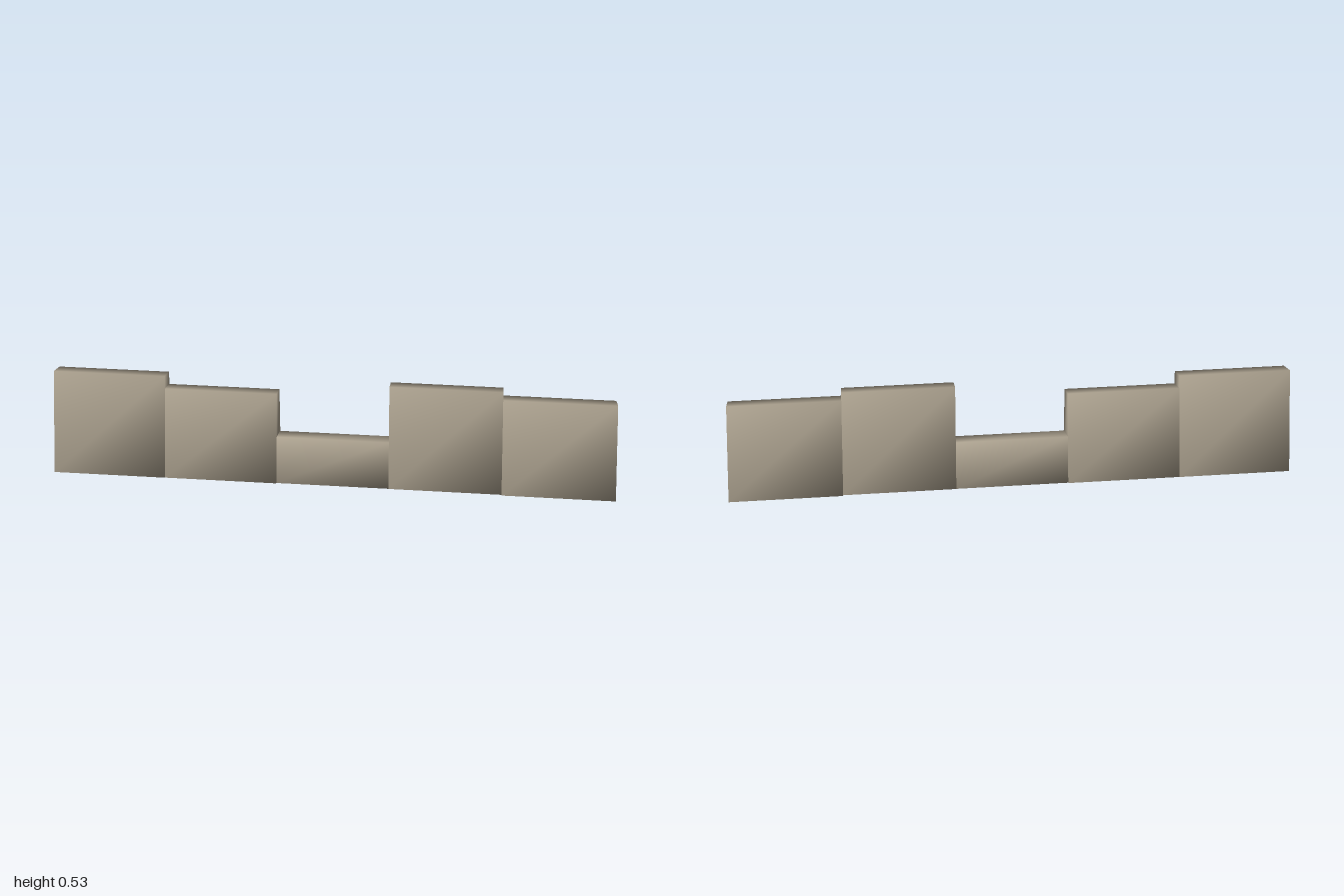
import * as THREE from 'three';
import { mergeVertices } from 'three/addons/utils/BufferGeometryUtils.js';

const LENGTH = 0.492; // length of one wall block
const SLOPE = -0.0326; // gentle fall of the ground along the wall

// Tapered block with soft shared normals, sheared to follow the slope
function blockGeometry(height, bottomWidth, topWidth) {
  let geo = new THREE.BoxGeometry(LENGTH, height, 1);
  geo.deleteAttribute('normal');
  geo.deleteAttribute('uv');
  geo = mergeVertices(geo);
  const p = geo.attributes.position;
  for (let i = 0; i < p.count; i++) {
    const width = p.getY(i) > 0 ? topWidth : bottomWidth;
    p.setZ(i, p.getZ(i) * width);
    p.setY(i, p.getY(i) + height / 2 + p.getX(i) * SLOPE);
  }
  geo.computeVertexNormals();
  return geo;
}

export function createModel() {
  const model = new THREE.Group();
  model.name = 'ruinedWall';
  const stone = new THREE.MeshStandardMaterial({ color: 0xa89e8c });
  stone.name = 'weathered stone';

  // Blocks from front left to back right: height, bottom width, top width
  const blocks = [
    [0.445, 0.203, 0.112],
    [0.39, 0.2, 0.112],
    [0.2, 0.185, 0.13],
    [0.445, 0.19, 0.112],
    [0.41, 0.215, 0.115],
  ];
  const wall = new THREE.Group();
  wall.name = 'wallRun';
  blocks.forEach(([height, bottom, top], i) => {
    const block = new THREE.Mesh(blockGeometry(height, bottom, top), stone);
    const x = (i - 2) * LENGTH;
    block.position.set(x, 0.04 + x * SLOPE, 0);
    block.name = `wallBlock${i + 1}`;
    wall.add(block);
  });

  // The wall runs diagonally across the plot
  wall.rotation.y = Math.atan2(0.758, 0.652);
  model.add(wall);
  return model;
}
